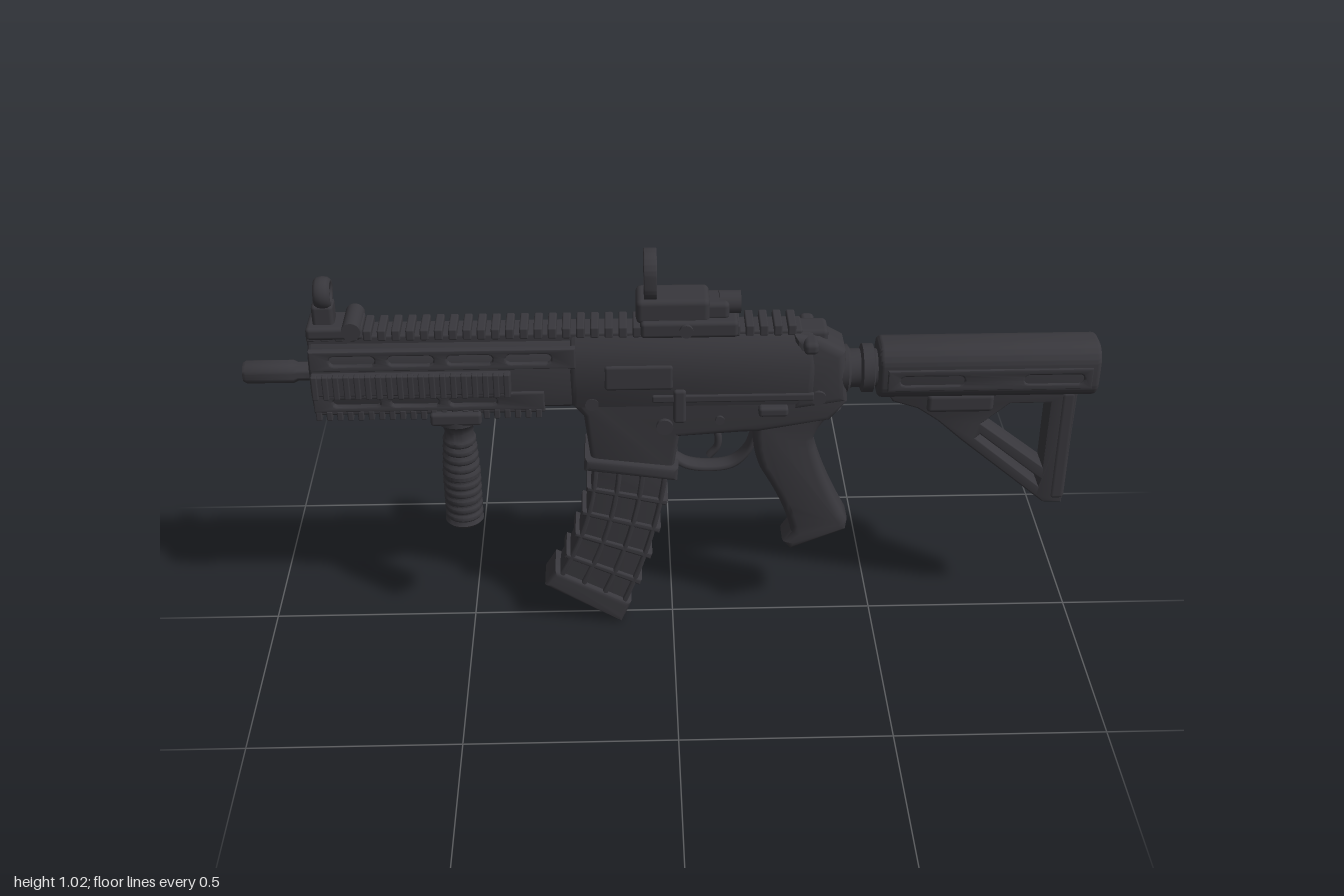
import * as THREE from 'three';
import { toCreasedNormals } from 'three/addons/utils/BufferGeometryUtils.js';
import { RoundedBoxGeometry } from 'three/addons/geometries/RoundedBoxGeometry.js';

const gunmetal = new THREE.MeshStandardMaterial({ color: 0x38373c });
gunmetal.name = 'gunmetal';
const lensRed = new THREE.MeshStandardMaterial({ color: 0x743f3f });
lensRed.name = 'lens red';

const shapeOf = (pts) => new THREE.Shape(pts.map(([x, y]) => new THREE.Vector2(x, y)));

// Rounded slot hole
function slot(x0, x1, y, r) {
  const p = new THREE.Path();
  p.absarc(x0 + r, y, r, Math.PI / 2, Math.PI * 1.5);
  p.absarc(x1 - r, y, r, -Math.PI / 2, Math.PI / 2);
  p.closePath();
  return p;
}

// Bevelled slab, centred on z = 0, that keeps the outline size
function slab(shape, width, bevel = 0.012) {
  const g = new THREE.ExtrudeGeometry(shape, {
    depth: width - 2 * bevel, bevelEnabled: bevel > 0, bevelThickness: bevel,
    bevelSize: bevel, bevelOffset: -bevel, bevelSegments: 3, curveSegments: 10,
  });
  g.translate(0, 0, -(width - 2 * bevel) / 2);
  return toCreasedNormals(g, 0.7);
}

// Slab of a (z, y) cross-section running along x from x0 to x1
function alongX(shape, x0, x1, bevel = 0.01) {
  return slab(shape, x1 - x0, bevel).rotateY(Math.PI / 2).translate((x0 + x1) / 2, 0, 0);
}

// Symmetric cross-section from its +z half, listed top to bottom
const section = (half) => shapeOf([...half, ...half.map(([z, y]) => [-z, y]).reverse()]);

function roundedSection(hz, y0, y1, r) {
  const s = new THREE.Shape();
  s.absarc(hz - r, y1 - r, r, 0, Math.PI / 2);
  s.absarc(-hz + r, y1 - r, r, Math.PI / 2, Math.PI);
  s.absarc(-hz + r, y0 + r, r, Math.PI, Math.PI * 1.5);
  s.absarc(hz - r, y0 + r, r, -Math.PI / 2, 0);
  s.closePath();
  return s;
}

const lathe = (pts) => toCreasedNormals(
  new THREE.LatheGeometry(pts.map(([r, y]) => new THREE.Vector2(r, y)), 24), 0.7);

export function createModel() {
  const model = new THREE.Group();
  model.name = 'compactRifle';
  const add = (name, geo, mat = gunmetal) => {
    const m = new THREE.Mesh(geo, mat);
    m.name = name;
    model.add(m);
  };
  const box = (name, x0, x1, y0, y1, z0, z1, r = 0.008) => add(name,
    new RoundedBoxGeometry(x1 - x0, y1 - y0, z1 - z0, 2, r)
      .translate((x0 + x1) / 2, (y0 + y1) / 2, (z0 + z1) / 2));
  const cyl = (name, r, len, x, y, z, axis) => {
    const g = new THREE.CylinderGeometry(r, r, len, 20);
    if (axis === 'x') g.rotateZ(Math.PI / 2);
    else g.rotateX(Math.PI / 2);
    add(name, g.translate(x, y, z));
  };

  // Barrel with an open muzzle
  add('barrel', lathe([[0, 0], [0.022, 0], [0.022, 0.09], [0.027, 0.1], [0.027, 0.21], [0.023, 0.217],
    [0.013, 0.217], [0.012, 0.17], [0, 0.17]]).rotateZ(Math.PI / 2).translate(-0.783, 0.717, 0));

  // Handguard core and slotted side panels
  add('handguard', alongX(section([[0.03, 0.815], [0.052, 0.79], [0.058, 0.75], [0.058, 0.68],
    [0.05, 0.645], [0.03, 0.63]]), -0.84, -0.22));
  for (const s of [1, -1]) {
    const upper = shapeOf([[-0.835, 0.75], [-0.225, 0.75], [-0.225, 0.803], [-0.835, 0.803]]);
    const lower = shapeOf([[-0.835, 0.642], [-0.3, 0.642], [-0.3, 0.688], [-0.835, 0.688]]);
    for (let i = 0; i < 4; i++) {
      const x = -0.79 + i * 0.135;
      upper.holes.push(slot(x, x + 0.105, 0.777, 0.012));
      if (i < 3) lower.holes.push(slot(x, x + 0.11, 0.666, 0.01));
    }
    add('upperHandguardPanel', slab(upper, 0.018, 0.004).translate(0, 0, s * 0.057));
    add('lowerHandguardPanel', slab(lower, 0.018, 0.004).translate(0, 0, s * 0.057));
    const z = s * 0.068;
    box('sideRail', -0.835, -0.375, 0.692, 0.744, z - 0.012, z + 0.012, 0.004);
    for (let x = -0.825; x < -0.38; x += 0.0245)
      box('sideRailTooth', x - 0.007, x + 0.007, 0.687, 0.748, s * 0.079 - 0.008, s * 0.079 + 0.008, 0.003);
  }

  // Top and bottom rails
  box('topRail', -0.84, 0.3, 0.795, 0.828, -0.036, 0.036, 0.006);
  for (let x = -0.83; x < 0.3; x += 0.0325)
    box('topRailTooth', x - 0.01, x + 0.01, 0.815, 0.843, -0.04, 0.04, 0.004);
  box('bottomRail', -0.84, -0.3, 0.617, 0.645, -0.038, 0.038, 0.006);
  for (let x = -0.83; x < -0.3; x += 0.0245)
    box('bottomRailTooth', x - 0.007, x + 0.007, 0.605, 0.63, -0.043, 0.043, 0.003);

  // Upper receiver, with a rounded cross-section
  add('upperReceiver', alongX(section([[0.035, 0.82], [0.056, 0.795], [0.066, 0.74], [0.064, 0.68],
    [0.055, 0.64]]), -0.24, 0.33, 0.015));
  add('receiverRear', slab(shapeOf([[0.28, 0.82], [0.34, 0.81], [0.4, 0.775], [0.41, 0.64], [0.28, 0.62]]), 0.116, 0.02));

  // Lower receiver and magazine well
  add('lowerReceiver', slab(shapeOf([[-0.235, 0.69], [-0.235, 0.64], [-0.21, 0.61], [-0.195, 0.48], [0, 0.45],
    [0.015, 0.55], [0.17, 0.56], [0.2, 0.56], [0.37, 0.59], [0.41, 0.64], [0.4, 0.71]]), 0.106, 0.014));
  add('magazineWellLip', slab(shapeOf([[-0.21, 0.5], [-0.213, 0.465], [0.01, 0.432], [0.013, 0.47]]), 0.128, 0.012));
  for (const s of [1, -1]) {
    const z = s * 0.06;
    box('receiverRib', -0.05, 0.33, 0.655, 0.675, z - 0.008, z + 0.008, 0.005);
    box('portCover', -0.16, 0, 0.69, 0.755, z - 0.009, z + 0.009);
    box('boltCatch', 0, 0.03, 0.6, 0.69, z - 0.012, z + 0.012);
    box('selector', 0.2, 0.27, 0.615, 0.64, z - 0.014, z + 0.014);
    cyl('receiverPin', 0.016, 0.02, -0.19, 0.65, z - s * 0.008, 'z');
    cyl('receiverPin', 0.018, 0.02, 0.34, 0.66, z - s * 0.004, 'z');
    cyl('releaseButton', 0.02, 0.018, -0.02, 0.585, z - s * 0.006, 'z');
    cyl('triggerPin', 0.011, 0.014, 0.11, 0.6, s * 0.053, 'z');
  }
  box('chargingHandle', 0.3, 0.335, 0.782, 0.814, -0.08, 0.08, 0.012);
  box('chargingHandleStem', 0.24, 0.36, 0.785, 0.825, -0.035, 0.035, 0.012);

  // Trigger and guard
  const guard = new THREE.CatmullRomCurve3([[0, 0.47], [0.035, 0.448], [0.09, 0.44], [0.145, 0.45],
    [0.18, 0.485], [0.2, 0.54]].map(([x, y]) => new THREE.Vector3(x, y, 0)));
  add('triggerGuard', new THREE.TubeGeometry(guard, 28, 0.011, 10).scale(1, 1, 2.2));
  const trigger = new THREE.CatmullRomCurve3([[0.085, 0.57], [0.108, 0.53], [0.108, 0.495], [0.088, 0.468]]
    .map(([x, y]) => new THREE.Vector3(x, y, 0)));
  add('trigger', new THREE.TubeGeometry(trigger, 16, 0.009, 8).scale(1, 1, 1.4));

  // Curved magazine: u runs across, v runs down
  const edge = (a, b, c) => new THREE.QuadraticBezierCurve(...[a, b, c].map((p) => new THREE.Vector2(...p)));
  const front = edge([-0.195, 0.49], [-0.2, 0.29], [-0.31, 0.115]);
  const back = edge([-0.005, 0.46], [-0.03, 0.24], [-0.135, 0.006]);
  const magPoint = (u, v) => front.getPoint(v).lerp(back.getPoint(v), u);
  const magPatch = (u0, u1, v0, v1, n = 10) => {
    const a = [], b = [];
    for (let i = 0; i <= n; i++) {
      const v = v0 + (v1 - v0) * i / n;
      a.push(magPoint(u0, v));
      b.unshift(magPoint(u1, v));
    }
    return new THREE.Shape([...a, ...b]);
  };
  add('magazine', slab(magPatch(0.02, 0.98, 0, 1), 0.084, 0.012));
  for (const u of [0.06, 0.36, 0.66, 0.94]) add('magazineRib', slab(magPatch(u - 0.035, u + 0.035, 0.04, 0.9), 0.098, 0.005));
  for (const v of [0.22, 0.4, 0.57, 0.74]) add('magazineBand', slab(magPatch(-0.035, 1.035, v - 0.018, v + 0.018, 2), 0.098, 0.006));
  add('magazineFloor', slab(magPatch(-0.05, 1.03, 0.87, 1, 4), 0.105, 0.012));

  // Pistol grip
  const grip = new THREE.Shape();
  grip.moveTo(0.19, 0.6);
  grip.quadraticCurveTo(0.185, 0.5, 0.215, 0.44);
  grip.quadraticCurveTo(0.275, 0.34, 0.29, 0.265);
  grip.lineTo(0.27, 0.235);
  grip.lineTo(0.29, 0.212);
  grip.lineTo(0.425, 0.268);
  grip.lineTo(0.428, 0.295);
  grip.quadraticCurveTo(0.36, 0.42, 0.335, 0.53);
  grip.quadraticCurveTo(0.35, 0.585, 0.4, 0.615);
  grip.closePath();
  add('pistolGrip', slab(grip, 0.094, 0.02));

  // Ribbed vertical foregrip
  const ribs = [[0, 0.29], [0.038, 0.29], [0.047, 0.3]];
  for (let i = 0; i < 10; i++) {
    const y = 0.315 + i * 0.023, r = 0.046 - 0.006 * Math.max(0, (i - 5) / 4);
    ribs.push([r - 0.004, y - 0.005], [r, y], [r, y + 0.009], [r - 0.004, y + 0.014]);
  }
  ribs.push([0.034, 0.555], [0.042, 0.575], [0.055, 0.585], [0.055, 0.605], [0, 0.605]);
  add('foregrip', lathe(ribs).translate(-0.51, 0, 0));
  box('foregripClamp', -0.57, -0.45, 0.592, 0.625, -0.055, 0.055);

  // Stock tube and stock
  add('stockTube', lathe([[0, 0], [0.055, 0], [0.057, 0.025], [0.046, 0.032], [0.046, 0.055], [0.058, 0.06],
    [0.058, 0.085], [0.045, 0.09], [0.045, 0.16], [0, 0.16]]).rotateZ(-Math.PI / 2).translate(0.385, 0.705, 0));
  add('stockBody', alongX(roundedSection(0.06, 0.64, 0.778, 0.045), 0.48, 1, 0.012));
  for (const s of [1, -1]) {
    const panel = shapeOf([[0.5, 0.675], [0.98, 0.675], [0.98, 0.73], [0.5, 0.73]]);
    panel.holes.push(slot(0.53, 0.68, 0.702, 0.012), slot(0.82, 0.96, 0.702, 0.012));
    add('stockPanel', slab(panel, 0.014, 0.004).translate(0, 0, s * 0.058));
  }
  const brace = shapeOf([[0.5, 0.66], [0.52, 0.63], [0.58, 0.61], [0.63, 0.575], [0.69, 0.52], [0.885, 0.355],
    [0.905, 0.338], [0.952, 0.336], [0.958, 0.66]]);
  brace.holes.push(
    shapeOf([[0.735, 0.565], [0.8, 0.62], [0.895, 0.62], [0.895, 0.44]]),
    shapeOf([[0.725, 0.525], [0.735, 0.535], [0.893, 0.405], [0.89, 0.385]]));
  add('stockBrace', slab(brace, 0.068, 0.004));
  box('buttPad', 0.918, 0.957, 0.345, 0.65, -0.036, 0.036, 0.012);
  box('stockLever', 0.6, 0.76, 0.6, 0.65, -0.042, 0.042, 0.012);

  // Front aperture sight
  box('frontSightBase', -0.84, -0.71, 0.82, 0.852, -0.045, 0.045, 0.01);
  cyl('frontSightPivot', 0.022, 0.1, -0.735, 0.845, 0, 'z');
  box('frontSightPost', -0.825, -0.775, 0.84, 0.9, -0.026, 0.026, 0.01);
  add('frontSightRing', new THREE.TorusGeometry(0.027, 0.011, 10, 24).rotateY(Math.PI / 2)
    .scale(1.8, 1, 1).translate(-0.797, 0.922, 0));
  box('frontSightPin', -0.803, -0.791, 0.89, 0.925, -0.005, 0.005, 0.002);

  // Reflex sight
  box('opticMount', -0.075, 0.15, 0.82, 0.862, -0.058, 0.058, 0.01);
  box('opticBody', -0.085, 0.085, 0.85, 0.912, -0.046, 0.046, 0.014);
  box('opticRear', 0.06, 0.13, 0.855, 0.9, -0.038, 0.038, 0.012);
  cyl('opticDial', 0.027, 0.05, 0.132, 0.885, 0, 'x');
  for (const s of [1, -1]) cyl('mountScrew', 0.016, 0.016, 0.03, 0.842, s * 0.058, 'z');
  const frame = roundedSection(0.05, 0.9, 1.018, 0.045);
  frame.holes.push(roundedSection(0.043, 0.92, 1.01, 0.037));
  add('lensFrame', alongX(frame, -0.066, -0.036, 0.002));
  add('lens', alongX(roundedSection(0.044, 0.919, 1.011, 0.038), -0.054, -0.046, 0), lensRed);

  return model;
}
